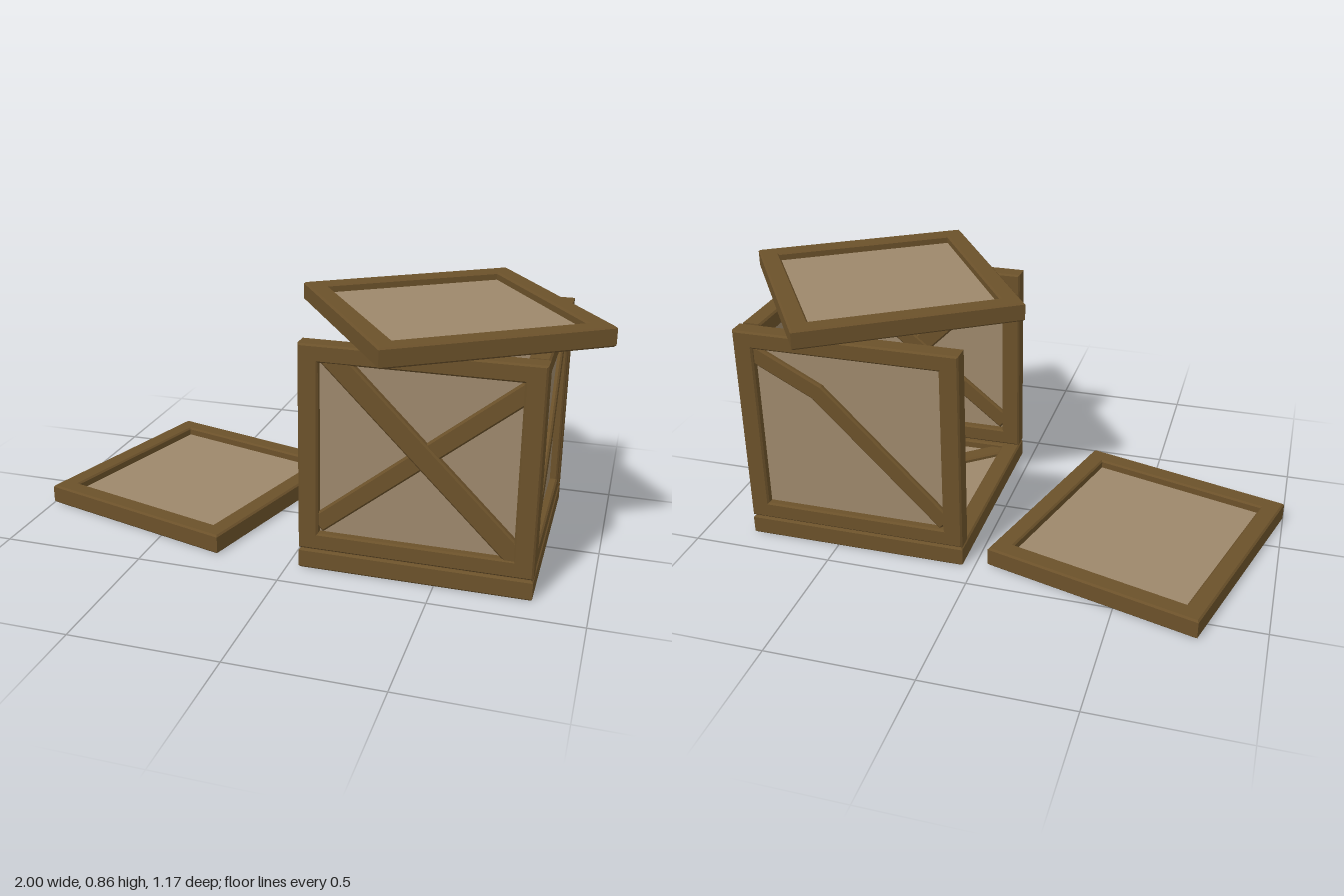
import * as THREE from 'three';

const wood = new THREE.MeshStandardMaterial({ color: 0x6b512a });
const board = new THREE.MeshStandardMaterial({ color: 0x9c876b });
const BEVEL = 0.006;

// Bevelled slab of a shape, centred on its own thickness
function slab(shape, depth, name) {
  const geometry = new THREE.ExtrudeGeometry(shape, {
    depth: depth - 2 * BEVEL, bevelEnabled: true, bevelThickness: BEVEL,
    bevelSize: BEVEL, bevelOffset: -BEVEL, bevelSegments: 1,
  });
  geometry.translate(0, 0, BEVEL - depth / 2);
  const mesh = new THREE.Mesh(geometry, wood);
  mesh.name = name;
  return mesh;
}

function rectangle(path, w, h) {
  const x = w / 2, y = h / 2;
  path.moveTo(-x, -y).lineTo(x, -y).lineTo(x, y).lineTo(-x, y).closePath();
  return path;
}

// Brace of constant width along a bent centre line, with mitred bends
function brace({ points, width, depth, offset = 0 }) {
  const line = points.map(([x, y]) => new THREE.Vector2(x, y));
  const normal = (a, b) => new THREE.Vector2(a.y - b.y, b.x - a.x).normalize();
  const above = [], below = [];
  line.forEach((p, i) => {
    const n1 = normal(line[Math.max(i - 1, 0)], line[Math.max(i, 1)]);
    const last = line.length - 1;
    const n2 = normal(line[Math.min(i, last - 1)], line[Math.min(i + 1, last)]);
    const miter = n1.clone().add(n2).normalize();
    miter.multiplyScalar(width / 2 / miter.dot(n1));
    above.push(p.clone().add(miter));
    below.unshift(p.clone().sub(miter));
  });
  const mesh = slab(new THREE.Shape([...below, ...above]), depth, 'brace');
  mesh.position.z = offset;
  return mesh;
}

// Framed panel in the XY plane: border, thin recessed board and braces
function panel({ name, w, h, thick = 0.066, side = 0.067, end = 0.06, braces = [], at, turn = 0, flat = false }) {
  const group = new THREE.Group();
  group.name = name;
  const shape = rectangle(new THREE.Shape(), w, h);
  shape.holes.push(rectangle(new THREE.Path(), w - 2 * side, h - 2 * end));
  group.add(slab(shape, thick, 'frame'));

  const sheet = new THREE.Mesh(new THREE.BoxGeometry(w - side, h - end, 0.012), board);
  sheet.name = 'board';
  group.add(sheet);

  for (const b of braces) group.add(brace(b));
  group.position.set(...at);
  group.rotation.set(flat ? -Math.PI / 2 : 0, turn, 0, 'YXZ');
  return group;
}

export function createModel() {
  const model = new THREE.Group();
  model.name = 'openCrate';
  const wallY = 0.4325, wallH = 0.715;
  const bent = (points) => [{ points, width: 0.062, depth: 0.044 }];

  model.add(
    // Crate body, open on one side
    panel({
      name: 'floor', w: 0.78, h: 0.80, thick: 0.07, end: 0.067, flat: true,
      at: [0.43, 0.035, -0.008],
      braces: bent([[0.33, 0.34], [0.04, -0.04], [-0.33, -0.34]]),
    }),
    panel({
      name: 'frontWall', w: 0.78, h: wallH, at: [0.43, wallY, 0.362],
      braces: [
        { points: [[-0.33, -0.27], [0.34, 0.27]], width: 0.064, depth: 0.04 },
        { points: [[-0.29, 0.325], [0.335, -0.295]], width: 0.075, depth: 0.044, offset: 0.007 },
      ],
    }),
    panel({
      name: 'backWall', w: 0.78, h: wallH, turn: Math.PI, at: [0.43, wallY, -0.378],
      braces: bent([[-0.34, 0.28], [-0.11, 0.16], [0.33, -0.28]]),
    }),
    panel({
      name: 'sideWall', w: 0.668, h: wallH, side: 0.057, turn: Math.PI / 2, at: [0.785, wallY, -0.006],
      braces: bent([[-0.29, -0.285], [-0.215, -0.26], [0.05, -0.04], [0.285, 0.26]]),
    }),
    // Lid resting askew on top
    panel({
      name: 'lid', w: 0.775, h: 0.80, end: 0.067, flat: true, turn: 0.584, at: [0.453, 0.826, 0.035],
    }),
    // Loose panel lying beside the open side
    panel({
      name: 'fallenPanel', w: 0.772, h: 0.80, thick: 0.07, end: 0.067, flat: true, turn: -0.272,
      at: [-0.52, 0.035, -0.098],
    }),
  );
  return model;
}
